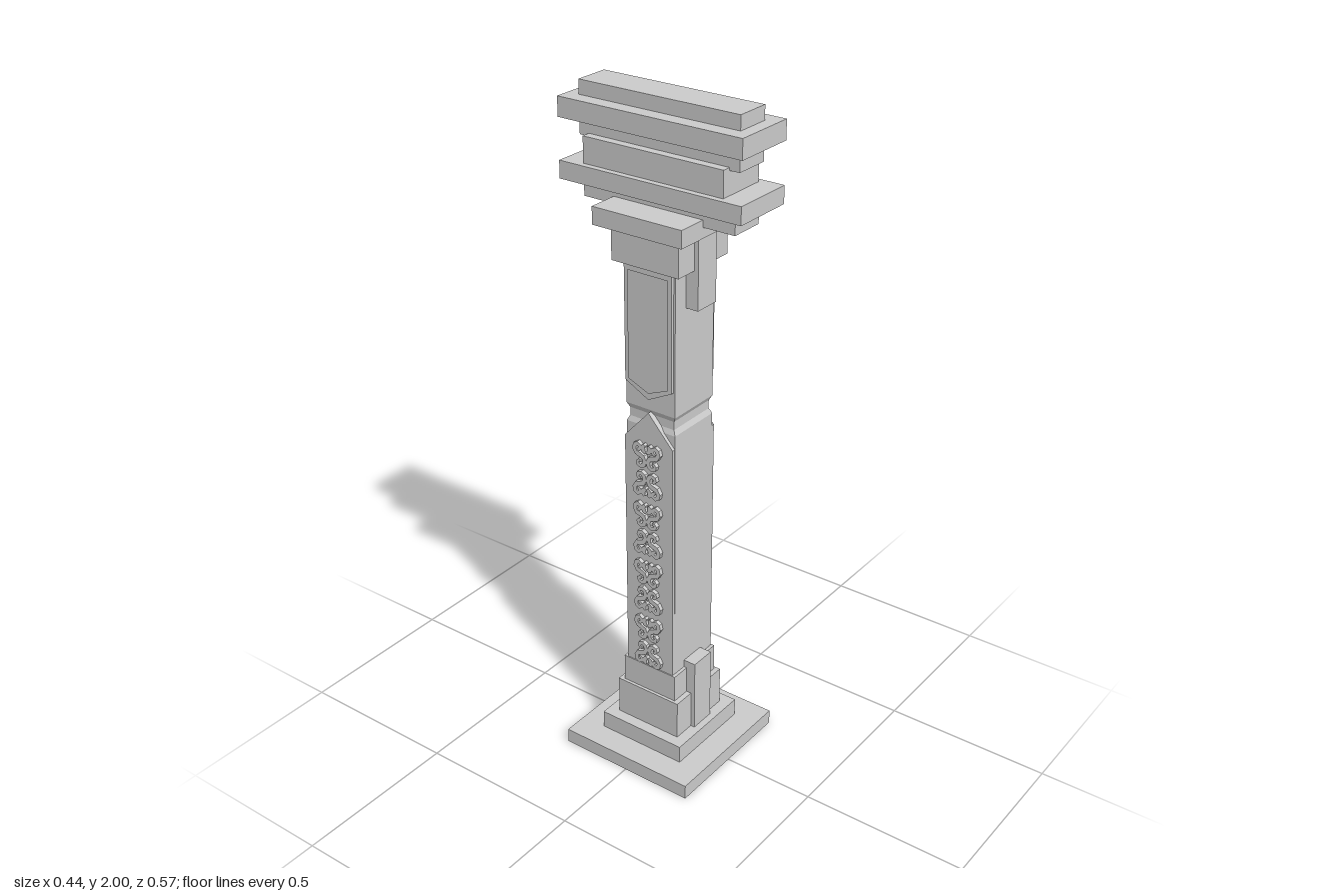
import * as THREE from 'three';

const material = new THREE.MeshStandardMaterial({ color: 0xcccccc, flatShading: true });

function add(parent, name, geometry) {
  const mesh = new THREE.Mesh(geometry, material);
  mesh.name = name;
  parent.add(mesh);
  return mesh;
}

// Centred block given by half widths and its bottom and top heights.
function block(parent, name, hx, hz, y0, y1, z = 0) {
  const mesh = add(parent, name, new THREE.BoxGeometry(hx * 2, y1 - y0, hz * 2));
  mesh.position.set(0, (y0 + y1) / 2, z);
  return mesh;
}

// Block whose top has different half widths from its bottom.
function taper(parent, name, hx0, hz0, hx1, hz1, y0, y1) {
  const mesh = block(parent, name, hx0, hz0, y0, y1);
  const p = mesh.geometry.attributes.position;
  for (let i = 0; i < p.count; i++) {
    if (p.getY(i) > 0) {
      p.setX(i, Math.sign(p.getX(i)) * hx1);
      p.setZ(i, Math.sign(p.getZ(i)) * hz1);
    }
  }
  mesh.geometry.computeVertexNormals();
}

const shapeOf = (pts) => new THREE.Shape(pts.map(([x, y]) => new THREE.Vector2(x, y)));
const extrude = (shape, depth) =>
  new THREE.ExtrudeGeometry(shape, { depth, bevelEnabled: false });

// Outline with straight sides and one pointed end.
const pointed = (w, flat, shoulder, apex) =>
  shapeOf([[-w, flat], [w, flat], [w, shoulder], [0, apex], [-w, shoulder]]);

// Flat ribbon of tapering width that follows a smooth path.
function ribbon(points, width) {
  const curve = new THREE.CatmullRomCurve3(points.map(([x, y]) => new THREE.Vector3(x, y, 0)));
  const n = 16, left = [], right = [];
  for (let i = 0; i <= n; i++) {
    const p = curve.getPoint(i / n), t = curve.getTangent(i / n);
    const w = width * (0.35 + 0.3 * Math.sin(Math.PI * i / n));
    left.push([p.x - t.y * w, p.y + t.x * w]);
    right.unshift([p.x + t.y * w, p.y - t.x * w]);
  }
  return shapeOf([...left, ...right]);
}

// One C-scroll with curled ends, and a leaf sprig.
const scroll = [[0.030, 0.014], [0.024, 0.019], [0.020, 0.026], [0.030, 0.034], [0.040, 0.026],
  [0.038, 0.008], [0.022, 0.002], [0.008, -0.006], [0.007, -0.024], [0.018, -0.033],
  [0.030, -0.027], [0.028, -0.017], [0.020, -0.017]];
const sprig = [[0.002, 0.012], [0.009, 0.018], [0.011, 0.028], [0.006, 0.036]];

// Decoration of one side face, modelled facing +z and then turned outward.
function sideFace(angle) {
  const side = new THREE.Group();
  side.name = 'sideFace';
  side.rotation.y = angle;

  const lower = add(side, 'lowerPointedPanel', extrude(pointed(0.081, 0.3, 1.05, 1.14), 0.016));
  lower.position.z = 0.08;

  const frame = pointed(0.077, 1.56, 1.22, 1.18);
  frame.holes.push(pointed(0.065, 1.54, 1.227, 1.2));
  const upper = add(side, 'upperPanelFrame', extrude(frame, 0.016));
  upper.position.z = 0.08;

  // Four carved motifs, each two rows of mirrored scrolls.
  const carving = new THREE.Group();
  carving.name = 'scrollCarving';
  side.add(carving);
  const geometries = [];
  for (const m of [1, -1]) {
    for (const path of [scroll, sprig]) {
      const pts = path.map(([x, y]) => [x * m, y]);
      geometries.push(extrude(ribbon(m > 0 ? pts : pts.reverse(), 0.011), 0.014));
    }
  }
  for (let i = 0; i < 4; i++) {
    for (const row of [1, -1]) {
      for (const g of geometries) {
        const curl = add(carving, 'scroll', g);
        curl.position.set(0, 0.395 + i * 0.19 + row * 0.044 + 0.0, 0.094);
        // The lower row is the upper row turned upside down.
        if (row < 0) curl.rotation.z = Math.PI;
      }
    }
  }
  return side;
}

export function createModel() {
  const model = new THREE.Group();
  model.name = 'pillar';

  // Stepped base
  block(model, 'plinth', 0.219, 0.219, 0, 0.045);
  block(model, 'baseStep', 0.142, 0.142, 0.045, 0.1);
  block(model, 'baseBlock', 0.108, 0.108, 0.1, 0.22);
  block(model, 'baseCollar', 0.099, 0.092, 0.22, 0.305);

  // Shaft with a shallow groove between its two halves
  block(model, 'lowerShaft', 0.086, 0.082, 0.305, 1.09);
  taper(model, 'grooveLower', 0.086, 0.082, 0.08, 0.074, 1.09, 1.105);
  block(model, 'grooveNeck', 0.08, 0.074, 1.105, 1.13);
  taper(model, 'grooveUpper', 0.08, 0.074, 0.086, 0.082, 1.13, 1.145);
  block(model, 'upperShaft', 0.086, 0.082, 1.145, 1.56);

  // Panels and carving on the left and right faces
  model.add(sideFace(Math.PI / 2), sideFace(-Math.PI / 2));

  // Brackets at foot and head, front and back
  for (const s of [1, -1]) {
    block(model, 'footBracket', 0.04, 0.025, 0.1, 0.328, s * 0.096);
    block(model, 'headBracket', 0.04, 0.025, 1.45, 1.66, s * 0.096);
  }

  // Capital
  block(model, 'capitalBlock', 0.108, 0.108, 1.56, 1.66);
  block(model, 'capitalSlab', 0.142, 0.142, 1.66, 1.71);

  // Stacked beams running front to back
  const beams = [
    [0.052, 0.24, 1.69, 1.74],
    [0.095, 0.286, 1.74, 1.79],
    [0.077, 0.22, 1.79, 1.863],
    [0.052, 0.25, 1.855, 1.905],
    [0.095, 0.286, 1.905, 1.96],
    [0.052, 0.25, 1.96, 2],
  ];
  for (const b of beams) block(model, 'crossBeam', ...b);

  return model;
}
